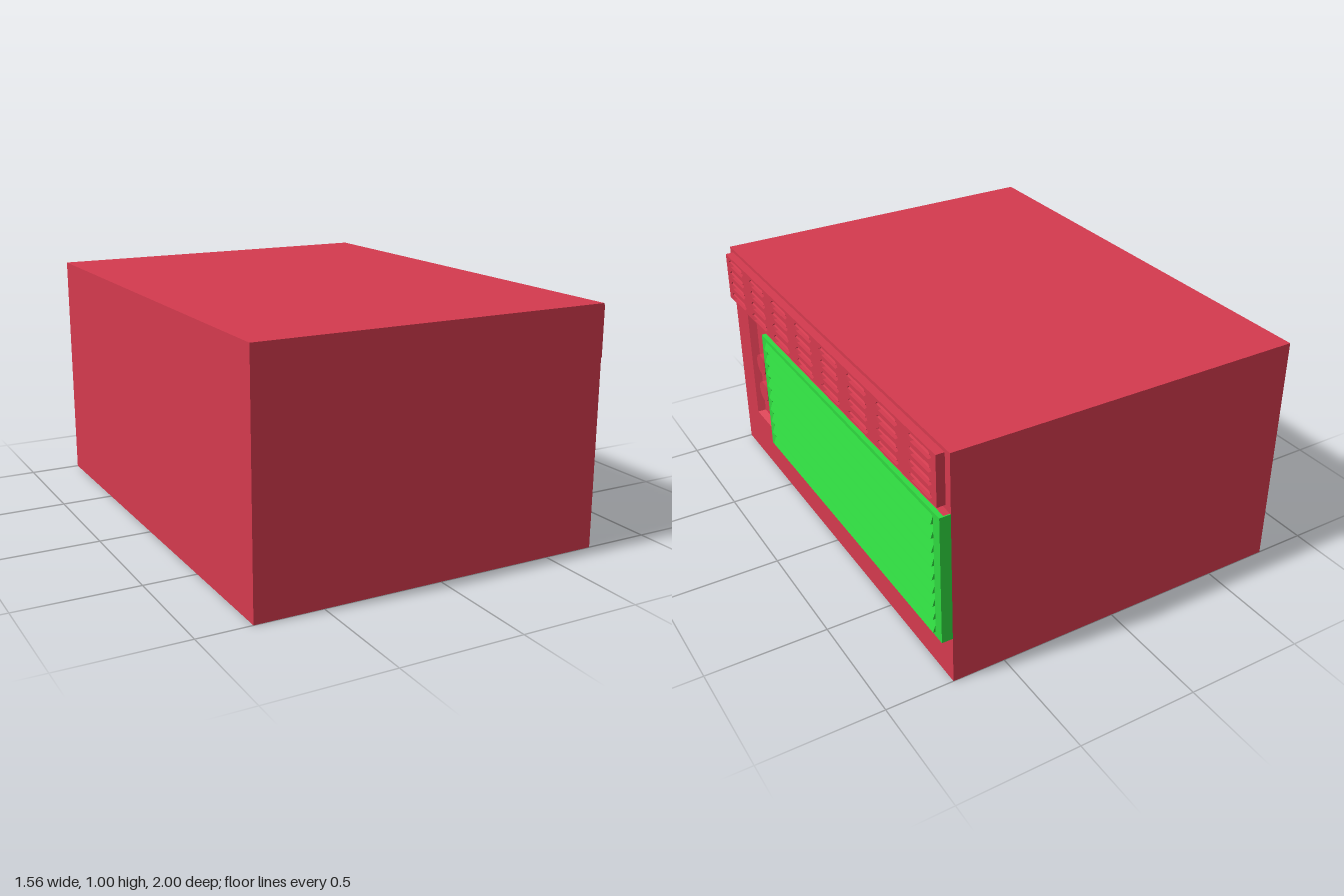
import * as THREE from 'three';

const red = new THREE.MeshStandardMaterial({ color: 0xd43a4e, side: THREE.DoubleSide });
const green = new THREE.MeshStandardMaterial({ color: 0x2fd840, side: THREE.DoubleSide });

// Outline on the side face: u runs towards the back (u = -z), v is height
const outline = (u0, u1, v0, v1, Type = THREE.Shape) =>
  new Type([[u0, v0], [u1, v0], [u1, v1], [u0, v1]].map(p => new THREE.Vector2(...p)));

function add(parent, name, geometry, material) {
  const mesh = new THREE.Mesh(geometry, material);
  mesh.name = name;
  parent.add(mesh);
  return mesh;
}

// Plate on the side face, from x0 to x1
function plate(shape, x0, x1) {
  return new THREE.ExtrudeGeometry(shape, { depth: x1 - x0, bevelEnabled: false })
    .rotateY(Math.PI / 2).translate(x0, 0, 0);
}

// Bar with an (x, y) profile running along z
function bar(points, z0, z1) {
  const shape = new THREE.Shape(points.map(p => new THREE.Vector2(...p)));
  return new THREE.ExtrudeGeometry(shape, { depth: z1 - z0, bevelEnabled: false }).translate(0, 0, z0);
}

export function createModel() {
  const model = new THREE.Group();

  // Cabinet, with a side skin opened for the control recess
  add(model, 'cabinet', new THREE.BoxGeometry(1.47, 1, 2).translate(-0.045, 0.5, 0), red);
  const skin = outline(-1, 1, 0, 1);
  skin.holes.push(outline(-0.86, -0.57, 0.205, 0.755, THREE.Path));
  add(model, 'sideSkin', plate(skin, 0.69, 0.72), red);

  // Sloping walls of the control recess
  const outer = [[0.86, 0.205], [0.57, 0.205], [0.57, 0.755], [0.86, 0.755]];
  const inner = [[0.835, 0.22], [0.57, 0.22], [0.57, 0.74], [0.835, 0.74]];
  const tri = [];
  for (let i = 0; i < 4; i++) {
    const j = (i + 1) % 4;
    const a = [0.72, outer[i][1], outer[i][0]], b = [0.72, outer[j][1], outer[j][0]];
    const c = [0.691, inner[j][1], inner[j][0]], d = [0.691, inner[i][1], inner[i][0]];
    tri.push(...a, ...b, ...c, ...a, ...c, ...d);
  }
  const walls = new THREE.BufferGeometry();
  walls.setAttribute('position', new THREE.Float32BufferAttribute(tri, 3));
  walls.computeVertexNormals();
  add(model, 'recessWalls', walls, red);

  // Control knobs
  for (const y of [0.53, 0.39]) {
    const knob = add(model, 'knob', new THREE.CylinderGeometry(0.047, 0.047, 0.042, 32), red);
    knob.rotation.z = -Math.PI / 2;
    knob.position.set(0.711, y, 0.715);
  }

  // Vent panel with rows of louvred openings
  const vent = new THREE.Group();
  vent.name = 'ventPanel';
  const panel = outline(-0.965, 0.965, 0.773, 0.985);
  for (let row = 0; row < 4; row++) {
    for (let col = 0; col < 8; col++) {
      const u = (col - 3.5) * 0.2425, y = 0.957 - row * 0.0535;
      panel.holes.push(new THREE.Path([[-0.086, 0], [-0.065, -0.017], [0.065, -0.017],
        [0.086, 0], [0.065, 0.017], [-0.065, 0.017]].map(p => new THREE.Vector2(u + p[0], y + p[1]))));
      add(vent, 'louvre', bar([[0.738, y + 0.017], [0.748, y + 0.017], [0.755, y + 0.004], [0.75, y + 0.002]],
        -u - 0.07, -u + 0.07), red);
    }
  }
  add(vent, 'ventPlate', plate(panel, 0.72, 0.755), red);
  model.add(vent);

  // Grille: red base frame, green front frame, tilted slats
  const grille = new THREE.Group();
  grille.name = 'grille';
  const frame = outline(-0.57, 0.995, 0.205, 0.755);
  frame.holes.push(outline(-0.525, 0.955, 0.222, 0.738, THREE.Path));
  add(grille, 'grilleBase', plate(frame, 0.72, 0.746), red);
  add(grille, 'grilleFrame', plate(frame, 0.746, 0.765), green);
  add(grille, 'grilleEnd', new THREE.BoxGeometry(0.045, 0.55, 0.005).translate(0.7425, 0.48, -0.9975), green);
  for (let i = 0; i < 9; i++) {
    const y = 0.725 - i * 0.06;
    add(grille, 'slat', bar([[0.75, y + 0.013], [0.764, y + 0.013], [0.776, y - 0.02], [0.762, y - 0.02]],
      -0.955, 0.525), green);
  }
  model.add(grille);

  return model;
}
